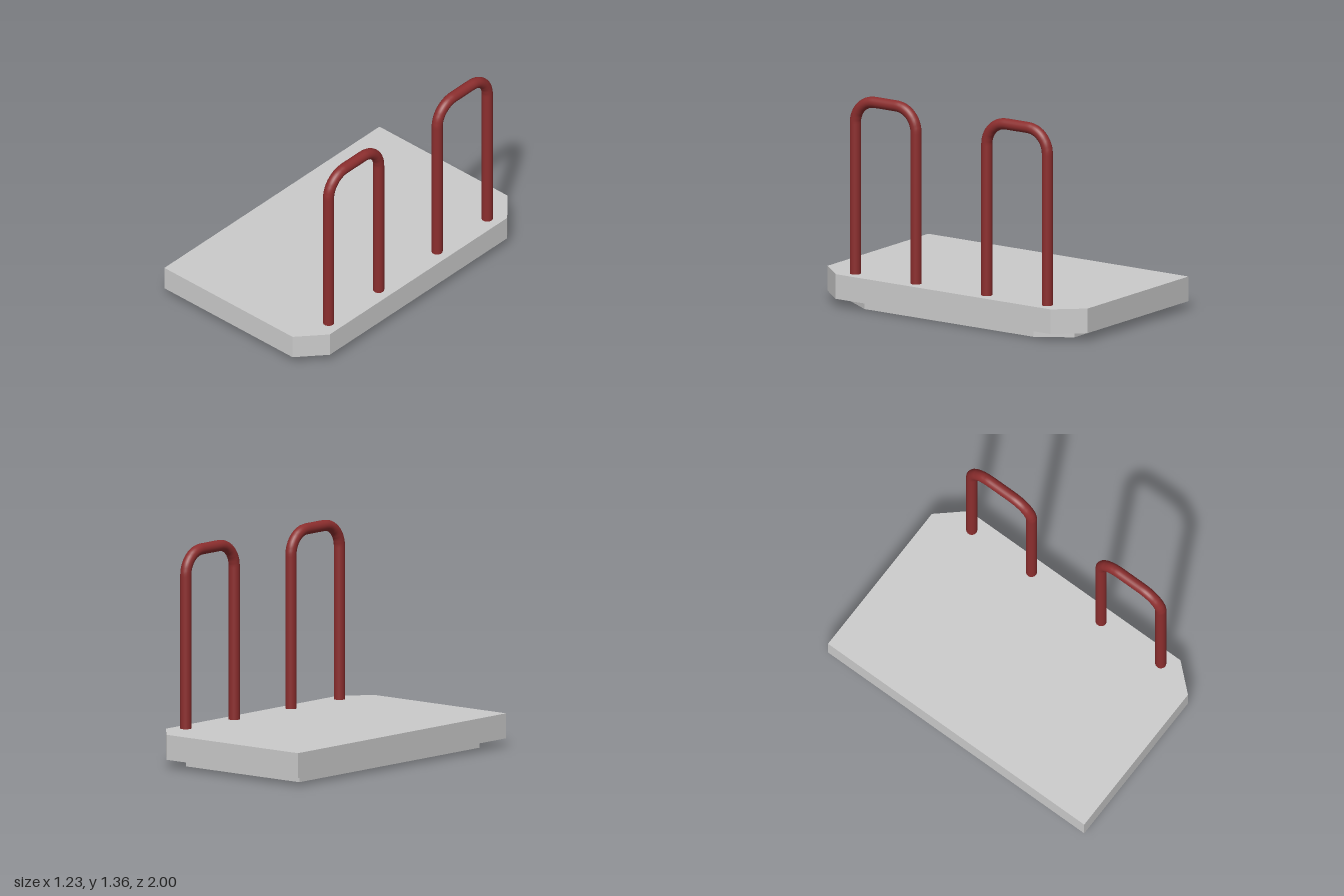
import * as THREE from 'three';

const grey = new THREE.MeshStandardMaterial({ color: 0xcccccc, flatShading: true });
const red = new THREE.MeshStandardMaterial({ color: 0x8c2e2e });

// Slab with its two +x corners cut off, lying between heights y0 and y1
function slab(name, x0, x1, halfZ, cutX, cutZ, y0, y1) {
  const shape = new THREE.Shape([
    [x0, -halfZ], [cutX, -halfZ], [x1, -cutZ],
    [x1, cutZ], [cutX, halfZ], [x0, halfZ],
  ].map(([x, y]) => new THREE.Vector2(x, y)));
  const geometry = new THREE.ExtrudeGeometry(shape, { depth: y1 - y0, bevelEnabled: false });
  geometry.rotateX(-Math.PI / 2).translate(0, y0, 0);
  const mesh = new THREE.Mesh(geometry, grey);
  mesh.name = name;
  return mesh;
}

// Upside-down U of bent pipe, centred on z = 0
function hoopGeometry() {
  const half = 0.233, top = 1.329, bend = 0.148, base = 0.2, radius = 0.035;
  const points = [new THREE.Vector3(0, base, half)];
  for (const side of [1, -1]) {
    for (let i = 0; i <= 10; i++) {
      const a = (side > 0 ? i : 10 - i) / 10 * Math.PI / 2;
      points.push(new THREE.Vector3(0,
        top - bend + bend * Math.sin(a),
        side * (half - bend + bend * Math.cos(a))));
    }
  }
  points.push(new THREE.Vector3(0, base, -half));
  const path = new THREE.CurvePath();
  for (let i = 1; i < points.length; i++) path.add(new THREE.LineCurve3(points[i - 1], points[i]));
  return new THREE.TubeGeometry(path, 160, radius, 24, false);
}

export function createModel() {
  const model = new THREE.Group();
  model.name = 'platformWithHoops';

  // Platform and the smaller plinth below it
  model.add(slab('platform', -0.617, 0.617, 1, 0.462, 0.825, 0.054, 0.212));
  model.add(slab('plinth', -0.513, 0.553, 0.865, 0.417, 0.65, 0, 0.054));

  // Pair of hoops along the cut edge
  const geometry = hoopGeometry();
  for (const side of [1, -1]) {
    const hoop = new THREE.Mesh(geometry, red);
    hoop.name = side > 0 ? 'frontHoop' : 'backHoop';
    hoop.position.set(0.528, 0, side * 0.505);
    model.add(hoop);
  }
  return model;
}
